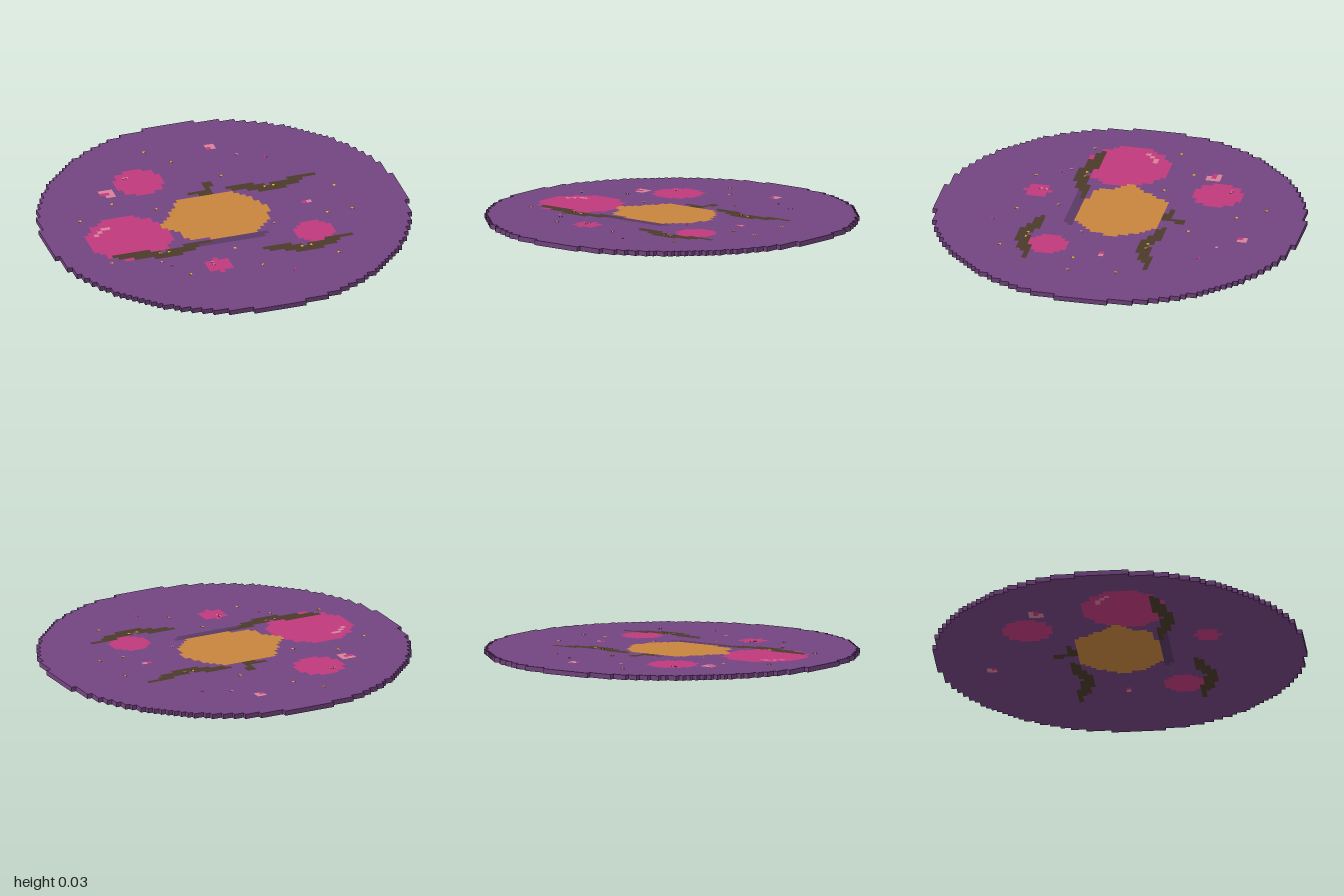
import * as THREE from 'three';

const N = 37;            // cells run from -N to N
const C = 2 / 75;        // cell size, also the thickness
const mat = (name, color) => {
  const m = new THREE.MeshStandardMaterial({ color });
  m.name = name;
  return m;
};

export function createModel() {
  const M = {
    purple: mat('purple', 0x734480), pink: mat('pink', 0xc0397c), orange: mat('orange', 0xc8853e),
    brown: mat('darkBrown', 0x4a3a2a), shade: mat('shadePurple', 0x593965),
    blush: mat('blush', 0xd88098), yellow: mat('yellow', 0xf0b818),
  };
  const group = new THREE.Group();
  group.name = 'pixelDisc';

  // Paint cells into a grid; later parts replace earlier ones
  const grid = new Map(), parts = new Map();
  const key = (x, z) => x + ',' + z;
  const run = (part, material, z, a, b = a) => {
    parts.set(part, material);
    for (let x = a; x <= b; x++) grid.set(key(x, z), part);
  };
  const circle = (part, material, cx, cz, r) => {
    for (let z = Math.ceil(cz - r); z <= cz + r; z++) {
      const w = Math.sqrt(r * r - (z - cz) ** 2);
      run(part, material, z, Math.ceil(cx - w), Math.floor(cx + w));
    }
  };

  // Disc and round spots
  circle('disc', M.purple, 0, 0, 37.4);
  circle('largeSpot', M.pink, -21, 3, 8.6);
  circle('backSpot', M.pink, -12.5, -17.5, 5);
  circle('rightSpot', M.pink, 15.5, 11.5, 4);
  circle('smallSpot', M.pink, -7, 18.5, 2.5);

  // Shadow, pumpkin and stem
  run('pumpkinShadow', M.shade, 9, -9, 6);
  run('pumpkinShadow', M.shade, 10, -8, 5);
  const pumpkin = [[-7, 4], [-8, 5], [-8, 6], [-9, 7], [-10, 7], [-10, 8], [-11, 8], [-12, 9], [-13, 9],
    [-13, 9], [-12, 8], [-11, 8], [-10, 8], [-10, 7], [-10, 6], [-9, 5], [-5, 4]];
  pumpkin.forEach(([a, b], i) => run('pumpkin', M.orange, i - 8, a, b));
  for (const z of [-13, -12, -11]) run('stem', M.brown, z, 0, z === -11 ? 0 : 1);
  run('stem', M.brown, -10, -4, 0);
  run('stem', M.brown, -9, -2, 0);

  // Bats: wings, ears and body; extra widens the outer wing
  const bat = (part, ox, oz, extra = 0) => {
    const rows = [[0, 4 - extra, 9], [0, 17, 22], [1, 5 - extra, 11], [1, 13, 19],
      [2, 8 - extra, 18], [3, 10, 15]];
    for (const [z, a, b] of rows) run(part, M.brown, oz + z, ox + a, ox + b);
  };
  bat('backBat', 0, -10);
  bat('frontBat', 0, 15);
  bat('leftBat', -28, 9, 2);

  // Highlights and sparkles
  const blush = [[5, -27], [6, -27], [6, -26], [-20, -16], [-19, -16], [-21, -16], [-19, -15],
    [-19, -14], [-20, -14], [18, 0], [-24, -2], [-25, -2], [-26, -1], [-27, 0]];
  for (const [x, z] of blush) run('sparkles', M.blush, z, x);
  for (const [x, z] of [[5, -26], [-20, -15], [-21, -15], [17, 0]]) run('sparkleCores', M.pink, z, x);

  // Turn each part into faces, with side walls only along the open rim
  for (const [part, material] of parts) {
    const pos = [];
    const quad = (a, b, c, d) => pos.push(...a, ...b, ...c, ...a, ...c, ...d);
    for (let z = -N; z <= N; z++) {
      const z0 = (z - 0.5) * C, z1 = (z + 0.5) * C;
      for (let x = -N; x <= N; x++) {
        if (grid.get(key(x, z)) !== part) continue;
        const x0 = (x - 0.5) * C, x1 = (x + 0.5) * C;
        quad([x0, C, z0], [x0, C, z1], [x1, C, z1], [x1, C, z0]);
        quad([x0, 0, z0], [x1, 0, z0], [x1, 0, z1], [x0, 0, z1]);
        if (!grid.has(key(x, z + 1))) quad([x0, 0, z1], [x1, 0, z1], [x1, C, z1], [x0, C, z1]);
        if (!grid.has(key(x, z - 1))) quad([x1, 0, z0], [x0, 0, z0], [x0, C, z0], [x1, C, z0]);
        if (!grid.has(key(x + 1, z))) quad([x1, 0, z1], [x1, 0, z0], [x1, C, z0], [x1, C, z1]);
        if (!grid.has(key(x - 1, z))) quad([x0, 0, z0], [x0, 0, z1], [x0, C, z1], [x0, C, z0]);
      }
    }
    const geo = new THREE.BufferGeometry();
    geo.setAttribute('position', new THREE.Float32BufferAttribute(pos, 3));
    geo.computeVertexNormals();
    const mesh = new THREE.Mesh(geo, material);
    mesh.name = part;
    group.add(mesh);
  }

  // Tiny specks: stars, glints and bat eyes, as thin plates on the top
  const plate = new THREE.BoxGeometry(0.014, 0.001, 0.014);
  const specks = (name, material, list) => {
    for (const [x, z] of list) {
      const m = new THREE.Mesh(plate, material);
      m.name = name;
      m.position.set(x, C + 0.0004, z);
      group.add(m);
    }
  };
  specks('star', M.yellow, [[-0.21, -0.76], [-0.1, -0.62], [0.11, -0.4], [-0.54, -0.29], [-0.33, -0.17],
    [-0.76, -0.17], [0.66, -0.12], [0.54, 0.14], [0.68, 0.14], [-0.73, 0.3], [-0.05, 0.35],
    [-0.36, 0.54], [0.04, 0.56], [0.47, 0.56]]);
  specks('pinkStar', M.pink, [[0.4, -0.52], [0.19, 0.66], [-0.43, 0.42]]);
  specks('glint', M.blush, [[0.26, -0.59], [0.23, 0.16], [-0.47, 0.37], [-0.4, -0.53], [-0.38, -0.53],
    [-0.21, 0.45], [-0.21, 0.48]]);
  specks('batEye', M.yellow, [[0.3, -0.22], [0.35, -0.22], [0.3, 0.44], [0.35, 0.44],
    [-0.45, 0.28], [-0.4, 0.28]]);
  return group;
}
